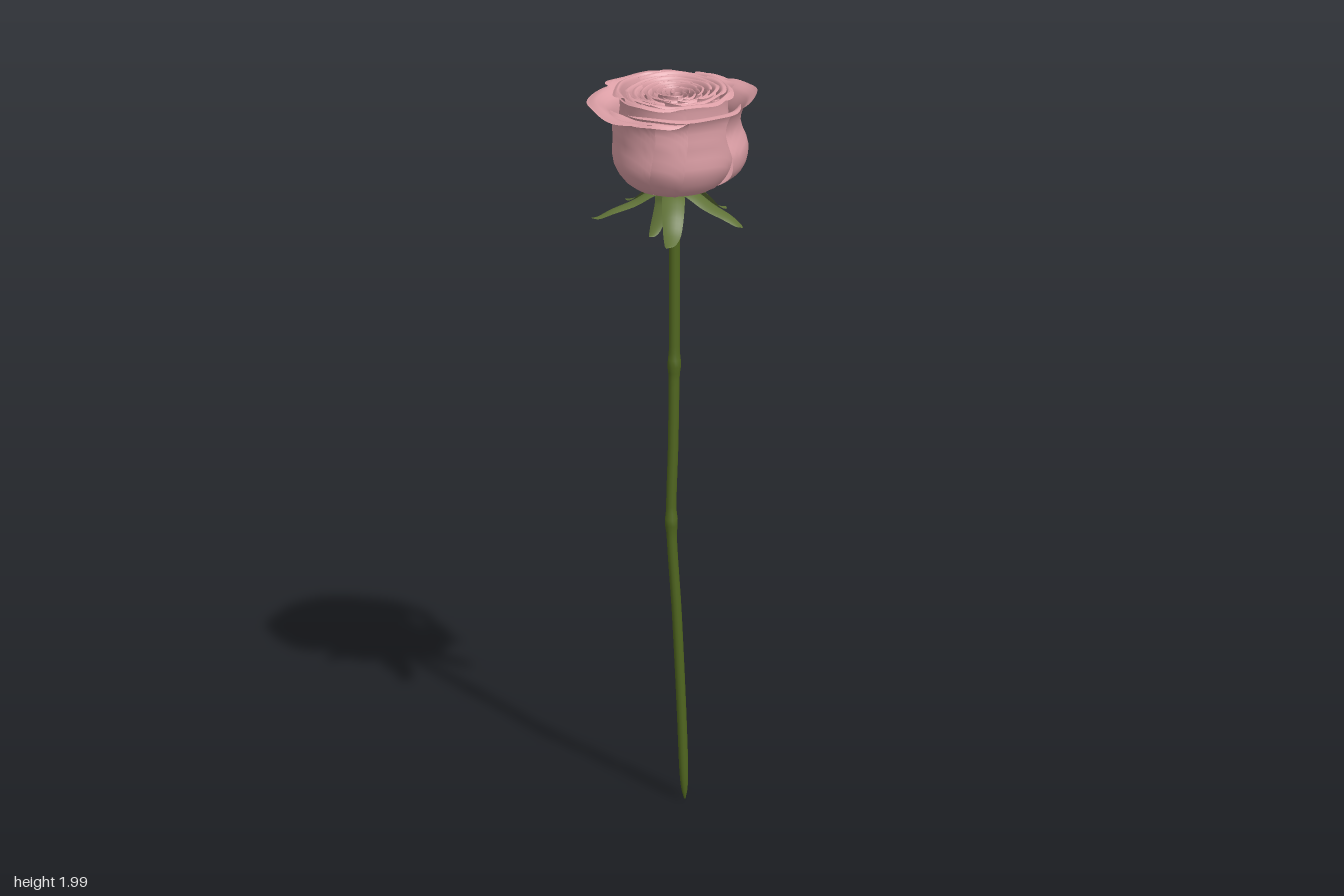
import * as THREE from 'three';
import { ParametricGeometry } from 'three/addons/geometries/ParametricGeometry.js';

const petalMat = new THREE.MeshStandardMaterial({ color: 0xdc9fa6, side: THREE.DoubleSide });
petalMat.name = 'petal pink';
const stemMat = new THREE.MeshStandardMaterial({ color: 0x50661f, side: THREE.DoubleSide });
stemMat.name = 'stem green';
const sepalMat = new THREE.MeshStandardMaterial({ color: 0x607238, side: THREE.DoubleSide });
sepalMat.name = 'sepal green';

const rad = THREE.MathUtils.degToRad;
const curve = (pts) => new THREE.CatmullRomCurve3(pts.map((p) => new THREE.Vector3(p[0], p[1], p[2] || 0)));

function surface(name, mat, fn, nu, nv) {
  const mesh = new THREE.Mesh(new ParametricGeometry(fn, nu, nv), mat);
  mesh.name = name;
  return mesh;
}

// A petal sweeps a (radius, height) profile around the bloom axis; 0 degrees faces +z, 90 faces +x.
// drop rounds the upper corners, tuck slides one side under its neighbour, wave ruffles the rim.
function petal(name, deg, halfDeg, profile, { drop = 0.2, tuck = 0.006, wave = 0.005, cx = 0.003, cz = 0.01 } = {}) {
  const path = curve(profile), a0 = rad(deg), w = rad(halfDeg), p = new THREE.Vector3();
  return surface(name, petalMat, (u, v, target) => {
    const s = 2 * u - 1;
    path.getPoint(v * (1 - drop * Math.abs(s) ** 4), p);
    const a = a0 + s * w * (0.75 + 0.25 * Math.min(1, v * 1.5));
    const ruffle = wave * v ** 3;
    const r = Math.max(0.002, p.x + tuck * s * Math.min(1, 3 * v) + ruffle * Math.sin(5 * s + deg));
    const y = p.y + 0.6 * ruffle * Math.sin(7 * s + deg * 2);
    target.set(cx + r * Math.sin(a), y, cz + r * Math.cos(a));
  }, 28, 18);
}

function makeBloom() {
  const bloom = new THREE.Group();
  bloom.name = 'bloom';

  // Outer petals with rims folded outward
  const outer = [
    ['leftOuterPetal', -84, 58, [[0.02, 1.72], [0.11, 1.728], [0.16, 1.79], [0.163, 1.87], [0.172, 1.935], [0.205, 1.957], [0.229, 1.952]]],
    ['rightOuterPetal', 89, 46, [[0.02, 1.72], [0.12, 1.735], [0.185, 1.775], [0.2, 1.83], [0.178, 1.9], [0.193, 1.95], [0.221, 1.975]]],
    ['backOuterPetal', 183, 48, [[0.02, 1.72], [0.11, 1.728], [0.158, 1.79], [0.162, 1.87], [0.168, 1.94], [0.205, 1.968], [0.233, 1.96]]],
    ['backRightOuterPetal', 149, 38, [[0.02, 1.72], [0.11, 1.73], [0.16, 1.79], [0.164, 1.87], [0.168, 1.935], [0.195, 1.965], [0.22, 1.965]]],
    ['frontOuterPetal', 6, 58, [[0.02, 1.72], [0.11, 1.727], [0.157, 1.79], [0.16, 1.87], [0.163, 1.935], [0.185, 1.967], [0.21, 1.966]]],
    ['frontLeftOuterPetal', -38, 42, [[0.02, 1.72], [0.11, 1.727], [0.156, 1.79], [0.16, 1.87], [0.16, 1.93], [0.18, 1.955], [0.2, 1.945]]],
  ];
  for (const [name, deg, half, profile] of outer) bloom.add(petal(name, deg, half, profile, { drop: 0.17 }));

  // Cup of upright petals that closes the body
  for (let i = 0; i < 5; i++) {
    const y = 1.992 - 0.004 * (i % 3);
    bloom.add(petal('cupPetal' + (i + 1), 20 + 72 * i, 56, [
      [0.015, 1.722], [0.1, 1.73], [0.148, 1.79], [0.15, 1.87], [0.14, 1.95], [0.147, y], [0.16, y - 0.006],
    ], { drop: 0.1, tuck: 0.005 }));
  }

  // Inner petals wind toward the heart
  const count = 30;
  for (let i = 0; i < count; i++) {
    const k = 1 - i / count;
    const R = 0.006 + 0.128 * k;
    const top = 1.988 + 0.007 * Math.sin(i * 2.3) - 0.008 * (1 - k);
    const depth = 0.05 + 0.1 * k;
    bloom.add(petal('innerPetal' + (i + 1), 137.5 * i, 78, [
      [0.3 * R, top - depth], [0.8 * R, top - 0.8 * depth], [0.96 * R, top - 0.45 * depth],
      [0.93 * R, top - 0.12 * depth], [R, top], [R + 0.01 * k, top - 0.004],
    ], { drop: 0.12, tuck: 0.07 * R, wave: 0.004 * k + 0.001, cx: 0.008, cz: 0.014 }));
  }
  return bloom;
}

// Stem with a cut tip, slight bends and two swollen nodes
function makeStem() {
  const path = curve([[0.034, 0, 0.008], [0.025, 0.25, 0.009], [0.012, 0.52, 0.012], [-0.003, 0.78, 0.013],
    [0.002, 1, 0.013], [0.005, 1.22, 0.012], [0.006, 1.48, 0.01], [0.006, 1.72, 0.008]]);
  const bump = (y, at, h) => h * Math.exp(-(((y - at) / 0.022) ** 2));
  const p = new THREE.Vector3();
  return surface('stem', stemMat, (u, v, target) => {
    path.getPoint(v, p);
    const y = p.y, a = u * Math.PI * 2;
    const r = 0.0125 + 0.003 * v - 0.0105 * Math.exp(-y / 0.03)
      + bump(y, 0.78, 0.004) + bump(y, 1.22, 0.004) + 0.004 * THREE.MathUtils.smoothstep(y, 1.6, 1.72);
    target.set(p.x + r * Math.sin(a), y, p.z + r * Math.cos(a));
  }, 12, 90);
}

// Pointed, gently folded leaf that arches out and droops, curling at the tip
function makeSepal(name, deg, reach, tipY, halfWidth) {
  const path = curve([[0.008, 1.712], [0.05, 1.712], [reach * 0.48, 1.685],
    [reach * 0.75, tipY + 0.022], [reach * 0.92, tipY + 0.004], [reach, tipY]]);
  const p = new THREE.Vector3();
  const sepal = surface(name, sepalMat, (u, v, target) => {
    path.getPoint(v, p);
    const s = 2 * u - 1;
    const w = halfWidth * (0.45 + 1.5 * v) * (1 - v) ** 1.15 + 0.0025 * (1 - v);
    target.set(s * w * 1.3 + 0.012 * v * v * Math.sin(4 * v + deg), p.y - 0.35 * w * s * s, p.x);
  }, 6, 24);
  sepal.rotation.y = rad(deg);
  sepal.position.set(0.005, 0, 0.009);
  return sepal;
}

export function createModel() {
  const rose = new THREE.Group();
  rose.name = 'rose';
  rose.add(makeBloom(), makeStem());

  // Green hip under the petals
  const hipProfile = [[0.015, 1.65], [0.02, 1.685], [0.034, 1.705], [0.05, 1.722], [0.001, 1.728]];
  const hip = new THREE.Mesh(new THREE.LatheGeometry(hipProfile.map((p) => new THREE.Vector2(...p)), 20), stemMat);
  hip.name = 'hip';
  hip.position.set(0.006, 0, 0.009);
  rose.add(hip);

  // Sepals: angle, reach, tip height, half width
  const sepals = [[-12, 0.21, 1.615, 0.036], [50, 0.215, 1.64, 0.034], [128, 0.205, 1.61, 0.036],
    [204, 0.225, 1.62, 0.035], [-88, 0.225, 1.642, 0.03], [-45, 0.12, 1.61, 0.028], [168, 0.11, 1.6, 0.026]];
  sepals.forEach((s, i) => rose.add(makeSepal('sepal' + (i + 1), ...s)));
  return rose;
}
